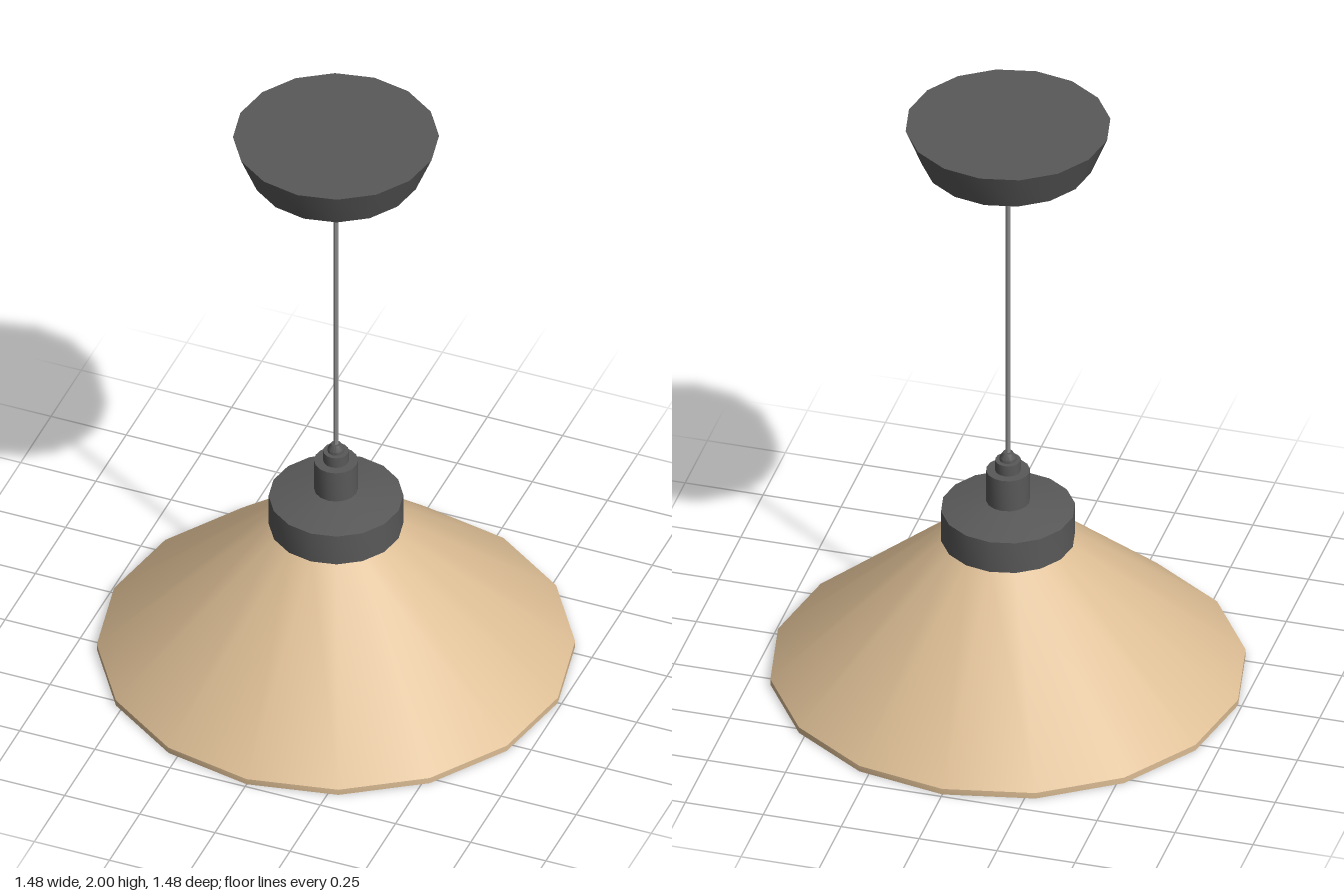
import * as THREE from 'three';
import { toCreasedNormals } from 'three/addons/utils/BufferGeometryUtils.js';

const material = (name, color) => {
  const m = new THREE.MeshStandardMaterial({ color });
  m.name = name;
  return m;
};

export function createModel() {
  const lamp = new THREE.Group();
  lamp.name = 'pendantLamp';

  const tan = material('tan shade', 0xdcbd94);
  const dark = material('dark grey metal', 0x595959);
  const grey = material('grey cord', 0x8c8c8c);
  const white = material('white glass', 0xf2f2f2);

  // Turned part: profile of [radius, height] points, outer side running upwards
  const turned = (name, mat, profile, sides = 16) => {
    const points = profile.map(([r, y]) => new THREE.Vector2(r, y));
    const geometry = toCreasedNormals(new THREE.LatheGeometry(points, sides), 0.55);
    const mesh = new THREE.Mesh(geometry, mat);
    mesh.name = name;
    lamp.add(mesh);
  };

  // Ceiling canopy and its cord outlet
  turned('ceilingCanopy', dark, [[0, 1.87], [0.265, 1.87], [0.318, 2], [0, 2]]);
  turned('canopyOutlet', dark, [[0, 1.838], [0.018, 1.838], [0.024, 1.85], [0.024, 1.875], [0, 1.875]]);

  // Cord
  turned('cord', grey, [[0.008, 0.78], [0.008, 1.86]], 8);

  // Stepped lamp holder above the shade
  turned('cordGrip', dark, [[0.026, 0.765], [0.026, 0.782], [0.015, 0.8], [0, 0.8]]);
  turned('holderCollar', dark, [[0.04, 0.73], [0.04, 0.772], [0, 0.772]]);
  turned('holderNeck', dark, [[0.068, 0.61], [0.068, 0.735], [0, 0.735]]);

  // Cap closing the top of the shade
  turned('shadeCap', dark, [[0, 0.488], [0.208, 0.488], [0.208, 0.597], [0.068, 0.625], [0, 0.625]]);

  // Conical shade: inner wall, bottom rim, outer wall
  turned('shade', tan, [[0.185, 0.488], [0.708, 0.02], [0.708, 0], [0.738, 0], [0.738, 0.02], [0.204, 0.492]]);

  // Round-ended bulb hanging inside
  const bulb = [];
  for (let i = 0; i <= 8; i++) {
    const a = (i / 8) * Math.PI / 2;
    bulb.push([0.09 * Math.sin(a), 0.258 - 0.09 * Math.cos(a)]);
  }
  bulb.push([0.09, 0.49]);
  turned('bulb', white, bulb, 24);

  return lamp;
}
